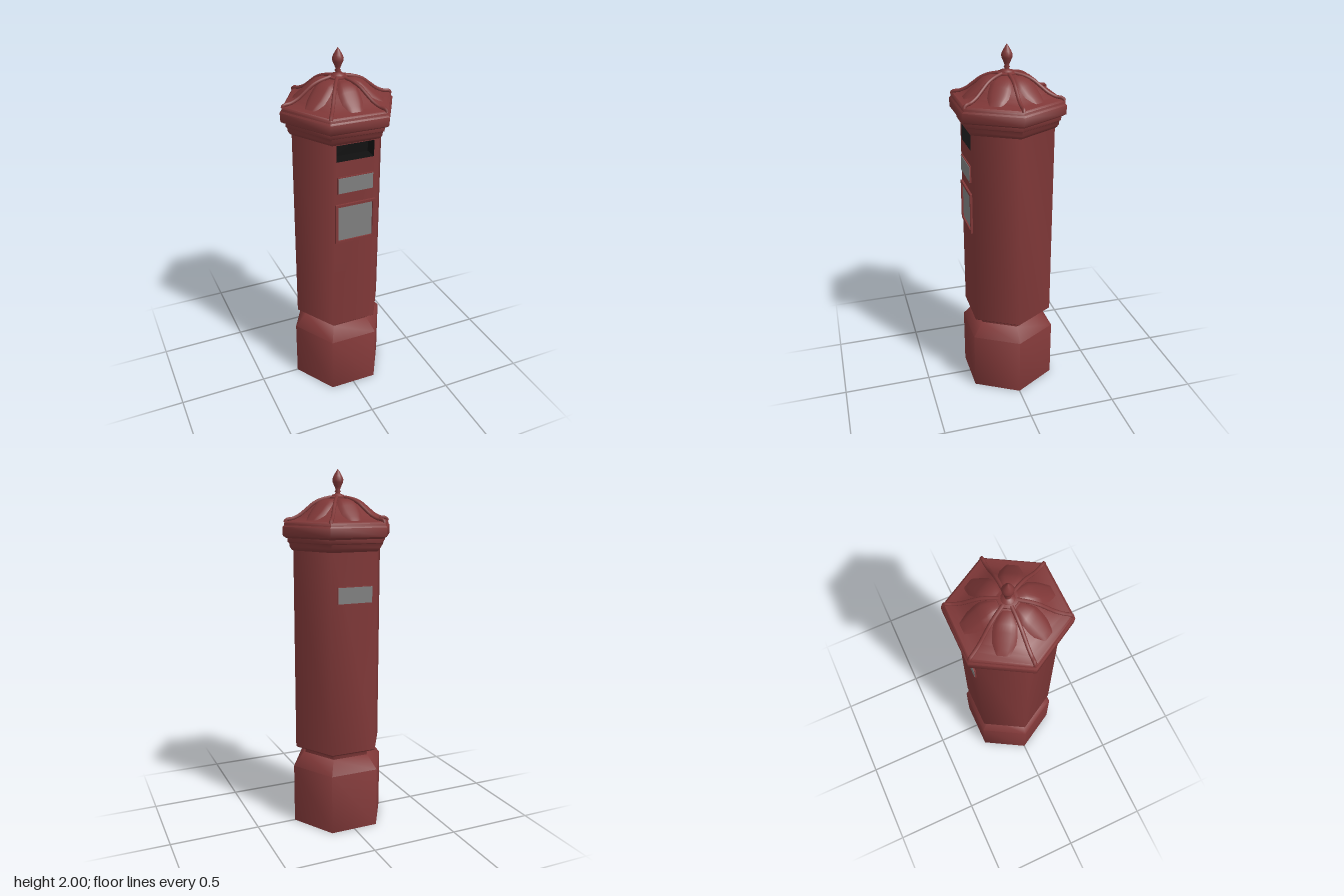
import * as THREE from 'three';
import { mergeGeometries, toCreasedNormals } from 'three/addons/utils/BufferGeometryUtils.js';

const CREASE = 1.15; // hexagon corners stay soft, moulding edges stay sharp
const APOTHEM = Math.cos(Math.PI / 6);
const red = new THREE.MeshStandardMaterial({ color: 0x803838 });
const grey = new THREE.MeshStandardMaterial({ color: 0x808080 });
const dark = new THREE.MeshStandardMaterial({ color: 0x111111 });

const ROOF = [[0.3, 1.728], [0.26, 1.736], [0.22, 1.754], [0.18, 1.784], [0.14, 1.814], [0.1, 1.832], [0.05, 1.845], [0, 1.848]];

// Height of the roof at a given corner radius
function roofY(r) {
  for (let i = 1; i < ROOF.length; i++) {
    const [r0, y0] = ROOF[i - 1], [r1, y1] = ROOF[i];
    if (r >= r1) return y0 + (y1 - y0) * (r - r0) / (r1 - r0);
  }
  return 1.848;
}

const points = (profile) => profile.map(([x, y]) => new THREE.Vector2(x, y));

// Six-sided turned part with corners on the x axis
function hexLathe(profile) {
  return toCreasedNormals(new THREE.LatheGeometry(points(profile), 6, Math.PI / 6), CREASE);
}

function rect(ShapeType, w, y0, y1) {
  return new ShapeType(points([[-w, y0], [w, y0], [w, y1], [-w, y1]]));
}

// Rectangular border around an opening
function frame(w, y0, y1, border, depth) {
  const shape = rect(THREE.Shape, w + border, y0 - border, y1 + border);
  shape.holes.push(rect(THREE.Path, w, y0, y1));
  return new THREE.ExtrudeGeometry(shape, { depth, bevelEnabled: false });
}

// Shaft: five turned sides plus a front panel pierced by the letter slot
function shaftGeometry() {
  const r = 0.26, bottom = 0.46, top = 1.585;
  const sides = new THREE.LatheGeometry(points([[r, bottom], [r, top]]), 5, Math.PI / 6, Math.PI * 5 / 3);
  const shape = rect(THREE.Shape, r / 2, bottom, top);
  shape.holes.push(rect(THREE.Path, 0.105, 1.48, 1.57));
  const front = new THREE.ShapeGeometry(shape).translate(0, 0, r * APOTHEM);
  return toCreasedNormals(mergeGeometries([sides.toNonIndexed(), front.toNonIndexed()]), CREASE);
}

// Raised leaf lofted over one roof face, pointing to +z
function petalGeometry() {
  // distance from centre, half width, bulge
  const rows = [[0.055, 0.022, 0], [0.085, 0.04, 0.012], [0.12, 0.056, 0.02], [0.15, 0.059, 0.023],
    [0.185, 0.056, 0.022], [0.215, 0.041, 0.014], [0.235, 0.03, 0]];
  const n = 8, pos = [], index = [];
  rows.forEach(([d, w, bulge], i) => {
    for (let j = 0; j <= n; j++) {
      const u = (2 * j) / n - 1;
      pos.push(w * u, roofY(d / APOTHEM) + 0.001 + bulge * Math.sqrt(1 - u * u), d);
      if (i && j) {
        const p = (i - 1) * (n + 1) + j - 1, q = p + n + 1;
        index.push(p, q, p + 1, q, q + 1, p + 1);
      }
    }
  });
  const g = new THREE.BufferGeometry();
  g.setAttribute('position', new THREE.Float32BufferAttribute(pos, 3));
  g.setIndex(index);
  g.computeVertexNormals();
  return g;
}

// Rounded rib following the roof along one corner
function ribGeometry() {
  const path = [[0.304, 1.722], [0.298, 1.735]];
  for (const r of [0.26, 0.22, 0.18, 0.14, 0.1, 0.04]) path.push([r, roofY(r) + 0.006]);
  const curve = new THREE.CatmullRomCurve3(path.map(([r, y]) => new THREE.Vector3(0, y, r)));
  return new THREE.TubeGeometry(curve, 28, 0.01, 8);
}

export function createModel() {
  const model = new THREE.Group();
  model.name = 'pillarBox';
  const add = (name, geometry, material = red, parent = model) => {
    const mesh = new THREE.Mesh(geometry, material);
    mesh.name = name;
    parent.add(mesh);
    return mesh;
  };

  // Plinth, neck and shaft
  add('base', hexLathe([[0, 0], [0.275, 0], [0.275, 0.34], [0.21, 0.415], [0, 0.415]]));
  add('neck', hexLathe([[0.205, 0.41], [0.205, 0.435], [0.225, 0.447], [0.25, 0.452], [0.26, 0.46]]));
  add('shaft', shaftGeometry());

  // Cornice and eaves
  add('cornice', hexLathe([[0.258, 1.572], [0.27, 1.58], [0.28, 1.595], [0.283, 1.615], [0.292, 1.62], [0.292, 1.65]]));
  add('eaves', hexLathe([[0.28, 1.638], [0.3, 1.642], [0.318, 1.652], [0.32, 1.7], [0.311, 1.708], [0.31, 1.72], [0.3, 1.728]]));

  // Roof with a rib on each corner and a petal on each face
  add('roof', hexLathe(ROOF));
  const rib = ribGeometry(), petal = petalGeometry();
  const ribs = new THREE.Group(), petals = new THREE.Group();
  ribs.name = 'roofRibs';
  petals.name = 'roofPetals';
  model.add(ribs, petals);
  for (let i = 0; i < 6; i++) {
    add('rib', rib, red, ribs).rotation.y = Math.PI / 6 + i * Math.PI / 3;
    add('petal', petal, red, petals).rotation.y = i * Math.PI / 3;
  }

  // Crown plate and finial
  add('crownPlate', hexLathe([[0.055, 1.835], [0.055, 1.852], [0.03, 1.86], [0, 1.86]]));
  add('finial', new THREE.LatheGeometry(points([[0.035, 1.85], [0.034, 1.863], [0.016, 1.869], [0.011, 1.876],
    [0.017, 1.882], [0.011, 1.889], [0.017, 1.905], [0.028, 1.93], [0.03, 1.945], [0.023, 1.963],
    [0.01, 1.985], [0, 2]]), 16));

  // Letter slot recess
  add('slotLining', frame(0.105, 1.48, 1.57, 0.008, 0.075), dark).position.z = 0.149;
  add('slotBack', new THREE.PlaneGeometry(0.22, 0.1), dark).position.set(0, 1.525, 0.15);

  // Name plates on the front and back faces
  for (const side of [1, -1]) {
    add('plateBacking', new THREE.BoxGeometry(0.204, 0.094, 0.02)).position.set(0, 1.348, side * 0.223);
    add('plate', new THREE.BoxGeometry(0.196, 0.086, 0.02), grey).position.set(0, 1.348, side * 0.2255);
  }

  // Notice frame and panel
  add('noticeFrame', frame(0.1, 1.022, 1.225, 0.014, 0.02)).position.z = 0.217;
  add('noticePanel', new THREE.BoxGeometry(0.2, 0.203, 0.012), grey).position.set(0, 1.1235, 0.222);

  return model;
}
